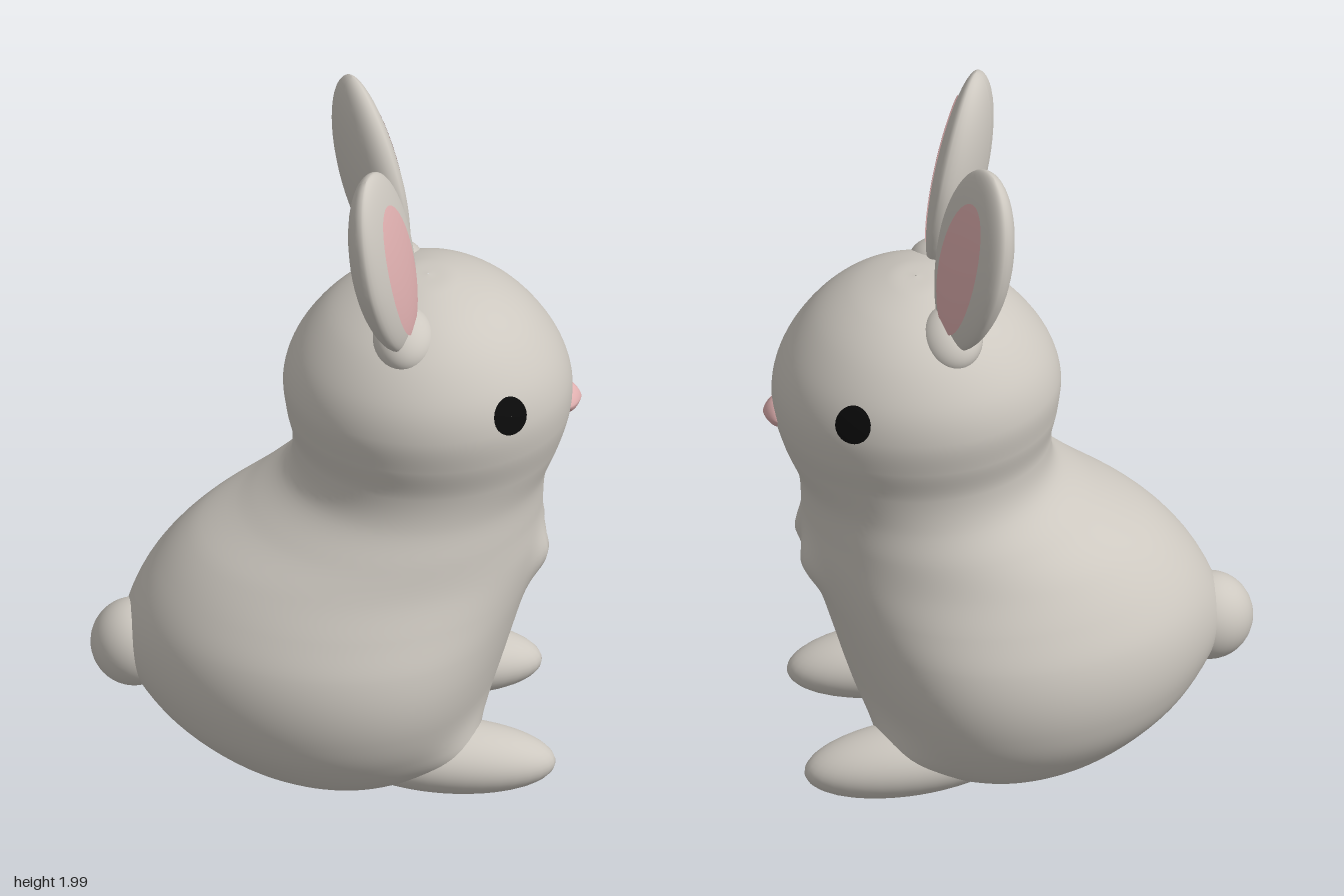
import * as THREE from 'three';
import { ParametricGeometry } from 'three/addons/geometries/ParametricGeometry.js';

// Body and head cross-sections: height, back x, front x, half width
const rows = [
  [0.008, 0.03, 0.034, 0.002], [0.01, -0.16, 0.17, 0.2], [0.035, -0.25, 0.27, 0.295],
  [0.1, -0.38, 0.36, 0.39], [0.2, -0.495, 0.415, 0.46], [0.3, -0.55, 0.45, 0.495],
  [0.4, -0.567, 0.48, 0.505], [0.5, -0.55, 0.51, 0.49], [0.6, -0.495, 0.542, 0.45],
  [0.7, -0.4, 0.565, 0.405], [0.8, -0.25, 0.565, 0.372], [0.9, -0.14, 0.575, 0.342],
  [1.0, -0.12, 0.615, 0.34], [1.1, -0.138, 0.642, 0.363], [1.2, -0.145, 0.642, 0.374],
  [1.3, -0.11, 0.605, 0.352], [1.4, -0.03, 0.53, 0.288], [1.47, 0.075, 0.435, 0.2],
  [1.51, 0.175, 0.33, 0.09], [1.518, 0.249, 0.253, 0.002],
];
const spline = (col) => new THREE.CatmullRomCurve3(
  rows.map((r) => new THREE.Vector3(r[col], r[0], r[3])), false, 'catmullrom', 0.5);
const backCurve = spline(1), frontCurve = spline(2);

// Soft swellings, mirrored left and right: height, angle, height spread, angle spread, amount
const swellings = [
  [0.65, 0.235, 0.065, 0.14, 0.03], // front paws
  [0.12, 0.7, 0.09, 0.3, 0.055], // legs running into the feet
  [0.35, Math.PI, 0.13, 0.28, 0.025], // root of the tail
];
const bell = (d, spread) => Math.exp(-((d / spread) ** 2));

// Point on the body skin: t runs up the body, angle 0 faces forward
function skin(t, angle, target, lift = 0) {
  const b = backCurve.getPoint(t), f = frontCurve.getPoint(t);
  const c = Math.cos(angle), s = Math.sin(angle);
  const away = Math.acos(THREE.MathUtils.clamp(c, -1, 1));
  for (const [y, a, sy, sa, amount] of swellings) {
    lift += amount * bell(b.y - y, sy) * bell(away - a, sa);
  }
  // haunches sit forward of the middle, and the belly narrows between them
  const haunch = bell(b.y - 0.35, 0.28);
  const pinch = 0.22 * haunch * Math.max(0, c) ** 4;
  return target.set(
    (b.x + f.x) / 2 + ((f.x - b.x) / 2 + lift) * c + 0.06 * haunch * s * s,
    b.y, (b.z + lift) * s * (1 - pinch));
}

// Curve parameter for a given height
function heightToT(y) {
  let lo = 0, hi = 1;
  for (let i = 0; i < 30; i++) {
    const mid = (lo + hi) / 2;
    if (backCurve.getPoint(mid).y < y) lo = mid; else hi = mid;
  }
  return lo;
}

// Moves every vertex of a geometry by a rule
function reshape(geometry, rule) {
  const position = geometry.attributes.position, p = new THREE.Vector3();
  for (let i = 0; i < position.count; i++) {
    rule(p.fromBufferAttribute(position, i));
    position.setXYZ(i, p.x, p.y, p.z);
  }
  geometry.computeVertexNormals();
  return geometry;
}

export function createModel() {
  const fur = new THREE.MeshStandardMaterial({ color: 0xcdc8c0 });
  const pink = new THREE.MeshStandardMaterial({ color: 0xe0b0b0, side: THREE.DoubleSide });
  const black = new THREE.MeshStandardMaterial({ color: 0x0b0b0b, side: THREE.DoubleSide });
  fur.name = 'fur';
  pink.name = 'pink';
  black.name = 'black';

  const model = new THREE.Group();
  model.name = 'rabbit';
  const add = (name, geometry, material, parent = model) => {
    const mesh = new THREE.Mesh(geometry, material);
    mesh.name = name;
    parent.add(mesh);
    return mesh;
  };
  const ball = (x, y, z) => new THREE.SphereGeometry(1, 36, 28).scale(x, y, z);

  // Body and head in one smooth skin
  add('bodyAndHead', new ParametricGeometry(
    (u, v, p) => skin(v, -u * Math.PI * 2, p), 96, 130), fur);

  add('tail', ball(0.12, 0.125, 0.115), fur).position.set(-0.555, 0.355, 0);

  // Nose: a softened diamond
  const sharpen = (k) => Math.sign(k) * Math.abs(k) ** 1.35;
  const noseGeometry = reshape(ball(1, 1, 1), (p) => {
    p.set(0.036 * sharpen(p.x), 0.045 * sharpen(p.y), 0.06 * sharpen(p.z));
  });
  add('nose', noseGeometry, pink).position.set(0.635, 1.1, 0);

  // Ear shell: flattened ellipsoid, rounder behind and narrowing to its root
  const [front, back, tall, wide] = [0.05, 0.082, 0.3, 0.172];
  const earGeometry = reshape(ball(1, tall, wide), (p) => {
    p.x *= p.x > 0 ? front : back;
    if (p.y < 0) p.z *= 1 + 0.3 * p.y;
  });

  // Pink inner ear follows the shell surface
  const innerEarGeometry = new ParametricGeometry((u, v, p) => {
    const r = 0.005 + 0.995 * v, a = -u * Math.PI * 2;
    const y = 0.225 * r * Math.sin(a) - 0.015, z = 0.1 * r * Math.cos(a);
    p.set(front * Math.sqrt(1 - (y / tall) ** 2 - (z / wide) ** 2) + 0.005, y, z);
  }, 36, 8);

  // Foot: rounded toes and a flat sole
  const footGeometry = reshape(ball(0.3, 0.1, 0.12).rotateZ(-0.1), (p) => {
    p.y = Math.max(p.y, -0.092 + 0.05 * Math.max(0, p.x));
  });

  for (const side of [1, -1]) {
    const label = side > 0 ? 'Left' : 'Right';

    // Ears lean back and spread outwards
    const ear = new THREE.Group();
    ear.name = 'ear' + label;
    ear.position.set(0.12, 1.708, -side * 0.225);
    ear.rotation.set(-side * 0.13, side * 0.36, 0.2, 'ZXY');
    add('earShell', earGeometry, fur, ear);
    add('innerEar', innerEarGeometry, pink, ear).position.z = -side * 0.012;
    model.add(ear);

    // Soft root where the ear meets the head
    const root = add('earRoot' + label, ball(0.085, 0.07, 0.1), fur);
    root.position.set(0.17, 1.435, -side * 0.19);
    root.rotation.x = -side * 0.5;

    // Eyes lie on the head surface
    add('eye' + label, new ParametricGeometry((u, v, p) => {
      const r = 0.01 + 0.99 * v, a = u * Math.PI * 2;
      skin(heightToT(1.247 + 0.055 * r * Math.sin(a)),
        -side * (1.005 + 0.14 * r * Math.cos(a)), p, 0.005);
    }, 24, 5), black);

    const foot = add('foot' + label, footGeometry, fur);
    foot.position.set(0.283, 0.103, -side * 0.245);
    foot.rotation.y = side * 0.04;
  }
  return model;
}
